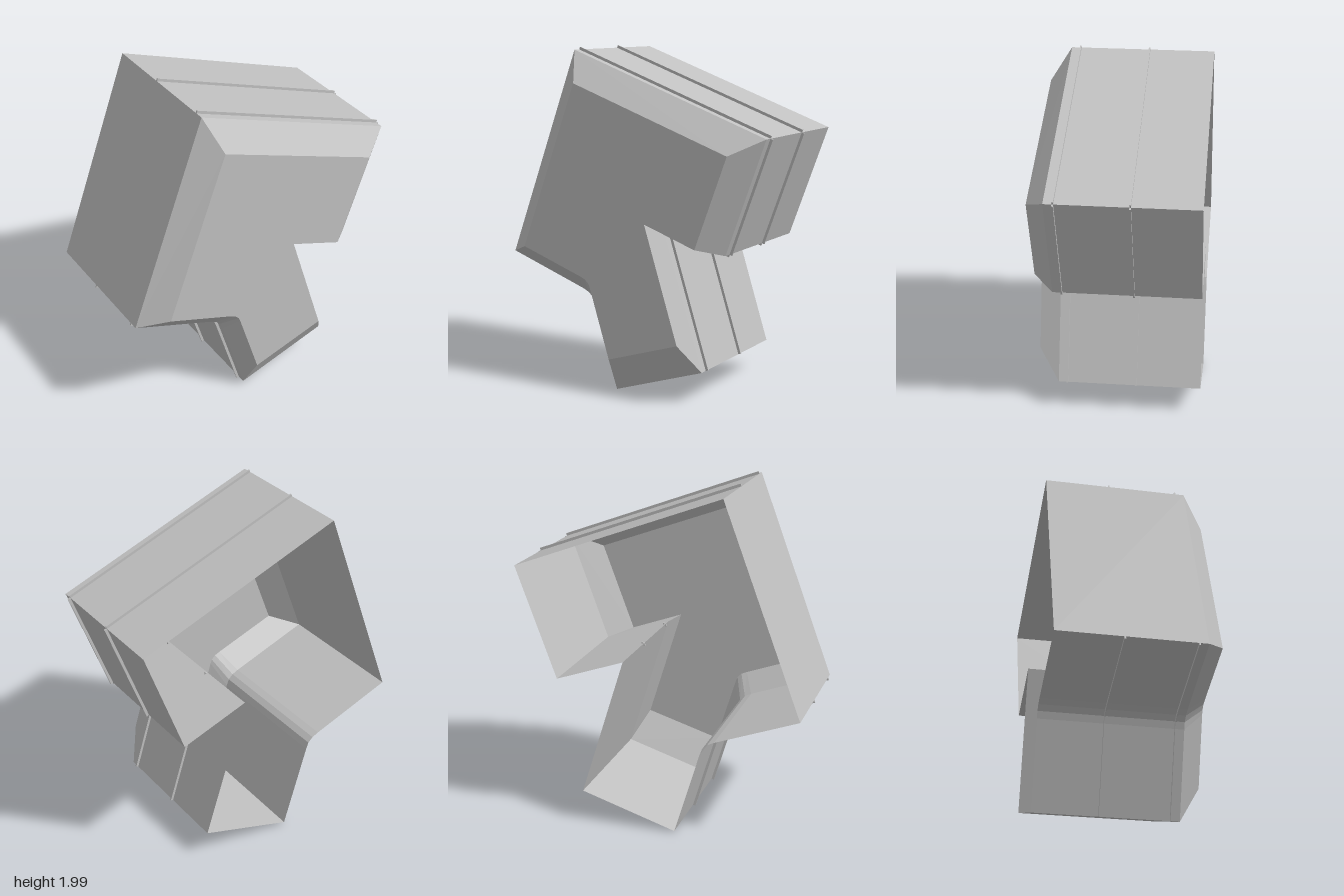
import * as THREE from 'three';

// Outline of the side walls, clockwise seen from the front
const outer = [
  [-0.395, 1.985], [0.83, 1.53], [0.59, 0.875], [0.185, 1.015], [0.445, 0.19], [-0.12, 0.01],
  [-0.27, 0.505], [-0.285, 0.545], [-0.315, 0.573], [-0.355, 0.592], [-0.845, 0.77],
];
// Matching outline of the smaller front face
const inner = [
  [-0.325, 1.8], [0.655, 1.44], [0.46, 0.915], [0.14, 1.03], [0.35, 0.36], [-0.1, 0.22],
  [-0.225, 0.625], [-0.235, 0.65], [-0.26, 0.675], [-0.295, 0.69], [-0.685, 0.83],
];
const BACK = -0.48, EDGE = 0.36, FRONT = 0.48;
const RIB_HEIGHT = 0.016, RIB_WIDTH = 0.009;

// Flat-sided band joining two outlines at different depths
function band(p, zp, q, zq) {
  const pos = [];
  p.forEach((a, i) => {
    const j = (i + 1) % p.length;
    const a0 = [...a, zp], a1 = [...q[i], zq], b1 = [...q[j], zq], b0 = [...p[j], zp];
    pos.push(...a0, ...a1, ...b1, ...a0, ...b1, ...b0);
  });
  const g = new THREE.BufferGeometry();
  g.setAttribute('position', new THREE.Float32BufferAttribute(pos, 3));
  g.computeVertexNormals();
  return g;
}

export function createModel() {
  const group = new THREE.Group();
  const grey = new THREE.MeshStandardMaterial({ color: 0xc0c0c0, side: THREE.DoubleSide });
  grey.name = 'light grey';
  const add = (name, geometry) => {
    const mesh = new THREE.Mesh(geometry, grey);
    mesh.name = name;
    group.add(mesh);
    return mesh;
  };

  // Hollow shell, open at the back
  add('sideWalls', band(outer, BACK, outer, EDGE));
  add('frontBevel', band(outer, EDGE, inner, FRONT));
  const face = new THREE.Shape(inner.map(([x, y]) => new THREE.Vector2(x, y)));
  add('frontFace', new THREE.ShapeGeometry(face)).position.z = FRONT;

  // Thin ribs along every wall except the foot end and the long left wall
  const bare = [4, outer.length - 1];
  for (const z of [0.307, -0.1]) {
    outer.forEach(([x, y], i) => {
      if (bare.includes(i)) return;
      const [x2, y2] = outer[i + 1];
      const length = Math.hypot(x2 - x, y2 - y);
      const nx = -(y2 - y) / length, ny = (x2 - x) / length;
      const rib = add('rib', new THREE.BoxGeometry(length, RIB_HEIGHT, RIB_WIDTH));
      rib.position.set((x + x2) / 2 + nx * RIB_HEIGHT / 2, (y + y2) / 2 + ny * RIB_HEIGHT / 2, z);
      rib.rotation.z = Math.atan2(y2 - y, x2 - x);
    });
  }
  return group;
}
